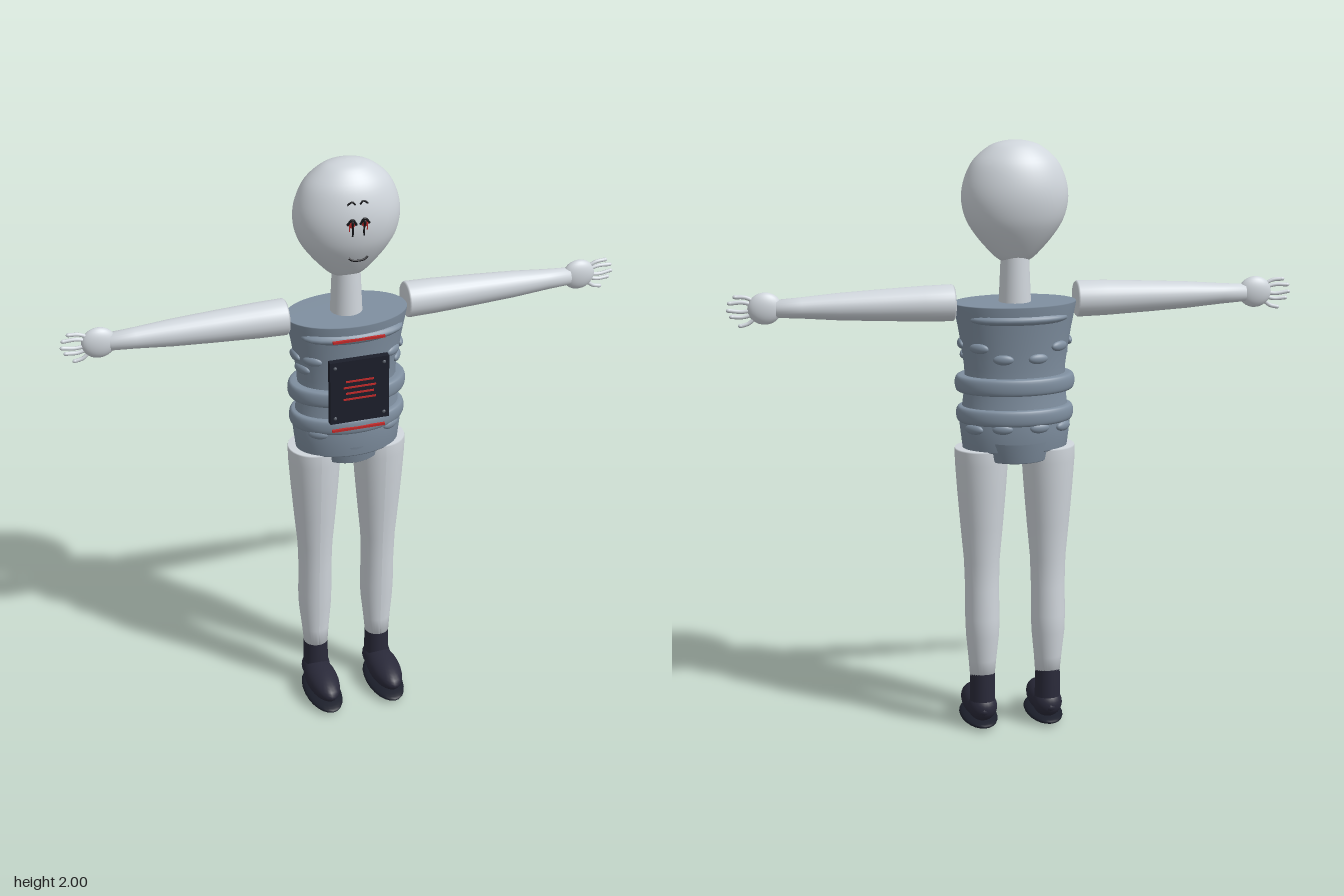
import * as THREE from 'three';

const mat = (name, color, side = THREE.FrontSide) => {
  const m = new THREE.MeshStandardMaterial({ color, side });
  m.name = name;
  return m;
};

export function createModel() {
  const model = new THREE.Group();
  const skin = mat('pale skin', 0xd0d6dc);
  const suit = mat('slate suit', 0x7f8fa0);
  const boot = mat('dark boots', 0x2a2a3a);
  const plate = mat('chest plate', 0x1c1f2b);
  const red = mat('red trim', 0xc42a2a);
  const ink = mat('black ink', 0x141418);
  const steel = mat('steel screws', 0x555b66);
  const CZ = -0.038; // depth of the body's axis

  const add = (name, geo, m, x = 0, y = 0, z = 0, parent = model) => {
    const mesh = new THREE.Mesh(geo, m);
    mesh.name = name;
    mesh.position.set(x, y, z);
    parent.add(mesh);
    return mesh;
  };
  const v2 = (pts) => pts.map(([r, y]) => new THREE.Vector2(r, y));
  const lathe = (pts, depth = 1, seg = 40) => new THREE.LatheGeometry(v2(pts), seg).scale(1, 1, depth);
  const ball = (x, y, z) => new THREE.SphereGeometry(1, 24, 16).scale(x, y, z);
  const box = (x, y, z) => new THREE.BoxGeometry(x, y, z);
  const tube = (pts, r) => new THREE.TubeGeometry(
    new THREE.CatmullRomCurve3(pts.map((p) => new THREE.Vector3(...p))), 12, r, 8);

  // Egg-shaped head and neck
  const egg = new THREE.SplineCurve(v2([[0, 1.6], [0.05, 1.612], [0.092, 1.65], [0.137, 1.705], [0.164, 1.755],
    [0.175, 1.815], [0.166, 1.875], [0.137, 1.935], [0.085, 1.98], [0.04, 1.996], [0, 2]])).getPoints(40);
  egg.forEach((p) => { p.x = Math.max(p.x, 0); });
  add('head', new THREE.LatheGeometry(egg, 48).scale(1, 1, 0.72), skin, 0, 0, CZ);
  add('neck', new THREE.CylinderGeometry(0.046, 0.054, 0.18, 32), skin, 0, 1.54, -0.04);

  // Face: brows, eyes with tear marks, mouth
  const face = new THREE.Group();
  face.name = 'face';
  model.add(face);
  for (const s of [-1, 1]) {
    add('brow', tube([[s * 0.008, 1.893, 0.081], [s * 0.018, 1.903, 0.08], [s * 0.034, 1.894, 0.08]], 0.003), ink, 0, 0, 0, face);
    add('eyelid', tube([[s * 0.006, 1.828, 0.088], [s * 0.02, 1.847, 0.089], [s * 0.037, 1.83, 0.088]], 0.004), ink, 0, 0, 0, face);
    add('iris', ball(0.011, 0.014, 0.006), red, s * 0.021, 1.832, 0.087, face);
    add('pupil', ball(0.005, 0.01, 0.004), ink, s * 0.02, 1.834, 0.092, face);
    add('tear', tube([[s * 0.02, 1.83, 0.09], [s * 0.018, 1.81, 0.09], [s * 0.019, 1.79, 0.088]], 0.003), ink, 0, 0, 0, face);
    add('tearRed', tube([[s * 0.03, 1.832, 0.089], [s * 0.029, 1.808, 0.088]], 0.002), red, 0, 0, 0, face);
  }
  add('mouth', tube([[-0.031, 1.715, 0.085], [-0.018, 1.708, 0.09], [0.018, 1.708, 0.09], [0.031, 1.715, 0.085]], 0.0035), ink, 0, 0, 0, face);

  // Torso with a flat collar and a tucked pelvis
  add('torso', lathe([[0, 0.985], [0.17, 0.985], [0.175, 0.99], [0.18, 1.03], [0.186, 1.08], [0.176, 1.13],
    [0.167, 1.2], [0.168, 1.26], [0.178, 1.33], [0.188, 1.39], [0.198, 1.44], [0.204, 1.472], [0.203, 1.475], [0, 1.475]],
  0.64), suit, 0, 0, CZ);
  add('pelvis', lathe([[0, 0.952], [0.112, 0.952], [0.117, 0.956], [0.13, 1.02]], 0.95), suit, 0, 0, CZ - 0.008);

  // Padded suit bands
  const band = (name, y, h, r, depth) => {
    const pts = [];
    for (let i = 0; i <= 12; i++) {
      const a = -Math.PI / 2 + (Math.PI * i) / 12;
      pts.push([r - 0.022 + 0.022 * Math.sqrt(Math.cos(a) + 1e-6), y + (h / 2) * Math.sin(a)]);
    }
    pts.unshift([r - 0.045, y - h / 2]);
    pts.push([r - 0.045, y + h / 2]);
    add(name, lathe(pts, depth), suit, 0, 0, CZ);
  };
  band('waistBand', 1.208, 0.056, 0.2, 0.66);
  band('hipBand', 1.105, 0.054, 0.196, 0.67);
  add('chestPad', ball(0.172, 0.03, 0.075), suit, 0, 1.428, 0.024);
  add('upperBackPad', ball(0.165, 0.03, 0.075), suit, 0, 1.43, -0.097);

  // Small raised pads round the ribs, back and hips
  const pads = [[0.9, 1.34, 0.175], [1.25, 1.3, 0.17], [2.3, 1.335, 0.178], [2.8, 1.3, 0.172],
    [0.75, 1.075, 0.184], [1.5, 1.34, 0.178], [2.2, 1.065, 0.184], [2.8, 1.07, 0.184]];
  for (const [a, y, r] of pads) for (const s of [-1, 1]) {
    const pad = add('suitPad', ball(0.034, 0.017, 0.013), suit, s * r * Math.sin(a), y, CZ + r * 0.64 * Math.cos(a));
    pad.rotation.y = s * Math.atan2(Math.sin(a) * 0.64, Math.cos(a));
  }

  // Chest panel with readout lines, screws and trim strips
  add('chestPanel', box(0.2, 0.225, 0.022), plate, 0, 1.25, 0.095);
  for (let i = 0; i < 4; i++) add('panelLine', box(i % 2 ? 0.11 : 0.095, 0.006, 0.004), red, 0, 1.288 - i * 0.0215, 0.107);
  for (const x of [-0.083, 0.083]) for (const y of [1.158, 1.342]) add('screw', ball(0.006, 0.006, 0.004), steel, x, y, 0.106);
  add('chestTrim', box(0.175, 0.008, 0.008), red, 0, 1.431, 0.098);
  add('hipTrim', box(0.18, 0.008, 0.008), red, 0, 1.105, 0.094);

  for (const s of [-1, 1]) {
    // Tapered arm laid out sideways
    const arm = add('arm', lathe([[0, 0.202], [0.055, 0.202], [0.06, 0.208], [0.058, 0.3], [0.051, 0.45],
      [0.044, 0.58], [0.034, 0.7], [0.029, 0.78], [0, 0.785]], 1, 28), skin, 0, 1.477, -0.044);
    arm.rotation.z = -s * Math.PI / 2;

    // Hand with four fingers and a thumb: [y at root, y at tip, x at tip]
    add('palm', ball(0.056, 0.052, 0.026), skin, s * 0.815, 1.479, -0.044);
    const fingers = [[1.502, 1.519, 0.908], [1.49, 1.499, 0.926], [1.477, 1.476, 0.93], [1.464, 1.455, 0.92], [1.45, 1.425, 0.893]];
    for (const [y0, y1, x1] of fingers) {
      const lift = y1 > y0 ? 0.006 : -0.006;
      add('finger', tube([[s * 0.845, y0, -0.044], [s * (0.845 + x1) / 2, (y0 + y1) / 2 + lift, -0.043], [s * x1, y1, -0.044]], 0.0065), skin);
      add('fingertip', ball(0.009, 0.0065, 0.0065), skin, s * x1, y1, -0.044);
    }

    // Leg: rings follow a path that leans back at the calf
    const leg = lathe([[0, 0.19], [0.042, 0.19], [0.047, 0.25], [0.056, 0.34], [0.058, 0.4], [0.057, 0.5], [0.06, 0.6],
      [0.071, 0.72], [0.081, 0.84], [0.088, 0.94], [0.089, 0.985], [0.087, 0.99], [0, 0.99]], 1, 32);
    const p = leg.attributes.position;
    for (let i = 0; i < p.count; i++) p.setZ(i, p.getZ(i) - 0.01 * Math.exp(-(((p.getY(i) - 0.35) / 0.15) ** 2)));
    leg.computeVertexNormals();
    add('leg', leg, skin, s * 0.113, 0, -0.04);

    // Boot: ankle shaft, rounded shoe and flat sole
    add('bootShaft', new THREE.CylinderGeometry(0.042, 0.044, 0.13, 28), boot, s * 0.113, 0.138, -0.045);
    add('bootHeel', ball(0.05, 0.05, 0.05), boot, s * 0.113, 0.078, -0.046);
    add('shoe', ball(0.055, 0.046, 0.13), boot, s * 0.115, 0.072, 0.032);
    add('sole', ball(0.063, 0.018, 0.137), plate, s * 0.114, 0.02, 0.033);
  }
  return model;
}
